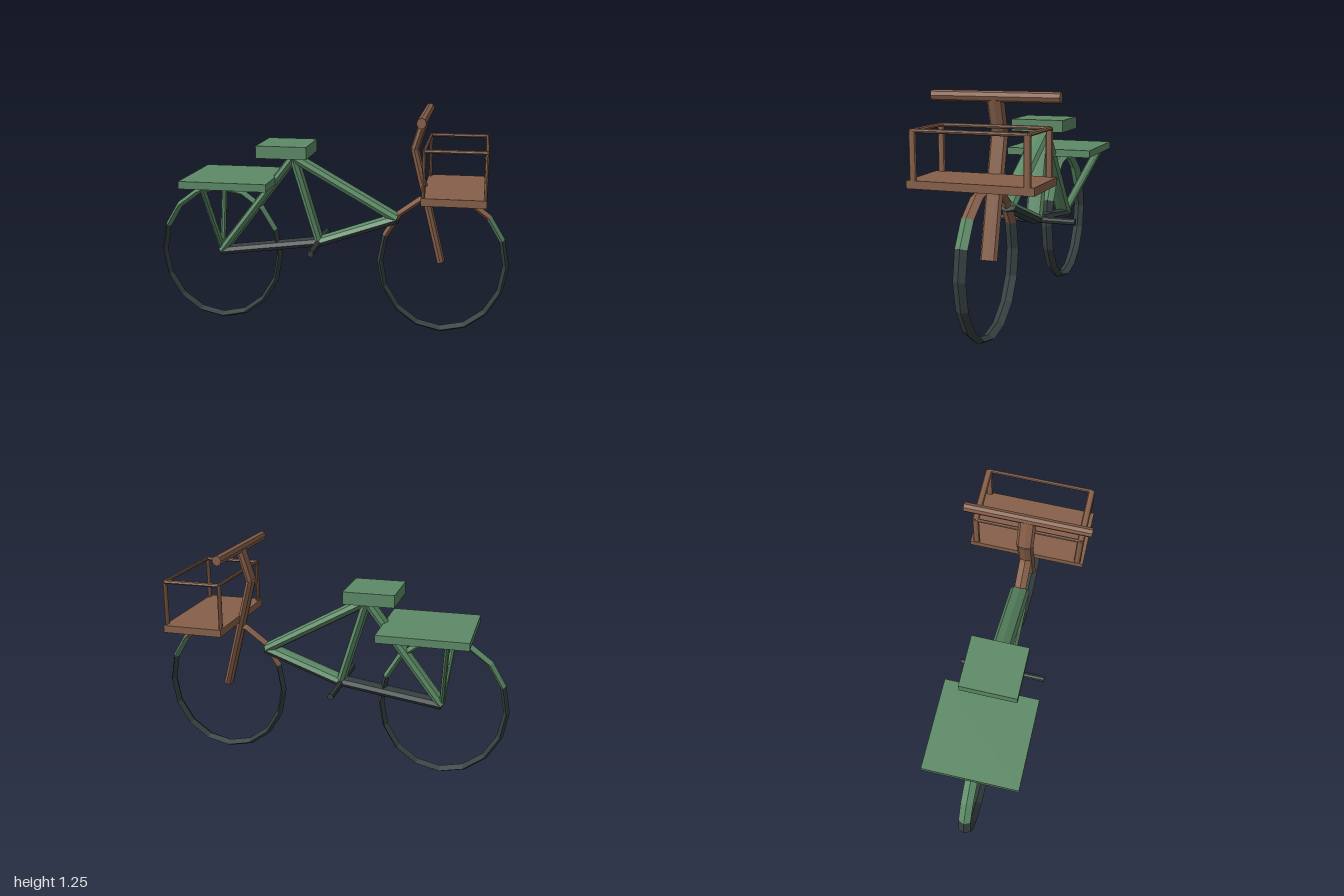
import * as THREE from 'three';

// Everything is built round, then flattened lengthwise and widened across
const S = new THREE.Vector3(0.9, 1, 1.8);
const WHEEL_X = 0.636, WHEEL_Y = 0.403, BAND = 0.57;

export function createModel() {
  const model = new THREE.Group();
  model.name = 'bicycle';
  const mat = (color) => new THREE.MeshStandardMaterial({ color, flatShading: true });
  const green = mat(0x5c8a66), brown = mat(0x87604a), dark = mat(0x363f40);

  const add = (name, geo, material) => {
    const mesh = new THREE.Mesh(geo, material);
    mesh.name = name;
    model.add(mesh);
    return mesh;
  };

  // Octagonal bar between two points
  const barGeo = (a, b, r) => {
    const p = new THREE.Vector3(...a).divide(S), q = new THREE.Vector3(...b).divide(S);
    const d = q.clone().sub(p);
    const geo = new THREE.CylinderGeometry(r, r, d.length(), 8);
    geo.applyQuaternion(new THREE.Quaternion().setFromUnitVectors(new THREE.Vector3(0, 1, 0), d.normalize()));
    const m = p.add(q).multiplyScalar(0.5);
    return geo.translate(m.x, m.y, m.z).scale(S.x, S.y, S.z);
  };
  const bar = (name, a, b, r, material) => add(name, barGeo(a, b, r), material);

  const box = (name, [x0, x1], [y0, y1], halfZ, material) =>
    add(name, new THREE.BoxGeometry(x1 - x0, y1 - y0, halfZ * 2)
      .translate((x0 + x1) / 2, (y0 + y1) / 2, 0), material);

  // Colours each pair of triangles by the position of its middle
  const banded = (name, geometry, pick) => {
    const geo = geometry.toNonIndexed();
    const pos = geo.attributes.position, mats = [dark, green, brown];
    geo.clearGroups();
    for (let i = 0; i < pos.count; i += 6) {
      const n = Math.min(6, pos.count - i);
      let x = 0, y = 0;
      for (let k = i; k < i + n; k++) {
        x += pos.getX(k) / n;
        y += pos.getY(k) / n;
      }
      geo.addGroup(i, n, mats.indexOf(pick(x, y)));
    }
    add(name, geo, mats);
  };

  // Wheels: sixteen-sided hoops with a diamond section
  for (const [name, side] of [['rearWheel', -1], ['frontWheel', 1]]) {
    const hoop = new THREE.TorusGeometry(0.385, 0.0185, 4, 16)
      .scale(S.x, S.y, S.z).translate(side * WHEEL_X, WHEEL_Y, 0);
    banded(name, hoop, (x, y) => {
      if (y < BAND) return dark;
      return side > 0 && x < 0.88 ? brown : green;
    });
  }

  // Frame
  const axle = [-0.63, 0.415, 0], seatTop = [-0.2, 0.975, 0];
  const bracket = [-0.055, 0.495, 0], head = [0.38, 0.65, 0];
  bar('seatStay', axle, seatTop, 0.029, green);
  bar('seatTube', bracket, seatTop, 0.029, green);
  bar('topTube', seatTop, head, 0.031, green);
  bar('chainStay', axle, bracket, 0.029, dark);
  banded('downTube', barGeo(bracket, head, 0.031), (x, y) => (y < BAND + (x - 0.1625) * 0.36 + 0.008 ? dark : green));
  bar('pedalAxle', [-0.06, 0.49, -0.245], [-0.06, 0.49, 0.245], 0.019, dark);

  // Saddle, carrier and carrier struts
  box('saddle', [-0.38, -0.1], [0.987, 1.055], 0.153, green);
  box('carrier', [-0.79, -0.3], [0.823, 0.865], 0.255, green);
  for (const s of [-1, 1]) bar('carrierStrut', axle, [-0.672, 0.835, s * 0.215], 0.016, green);

  // Fork, stem and handlebar
  bar('fork', [0.628, 0.415, 0], [0.468, 1.045, 0], 0.026, brown);
  bar('stem', [0.47, 1.04, 0], [0.525, 1.22, 0], 0.026, brown);
  bar('handlebar', [0.525, 1.223, -0.34], [0.525, 1.223, 0.34], 0.028, brown);

  // Basket: floor, corner posts and top rails
  box('basketFloor', [0.53, 0.862], [0.8, 0.84], 0.322, brown);
  const X = [0.541, 0.855], Z = 0.287, TOP = 1.077, R = 0.0105;
  for (const x of X) {
    for (const z of [-Z, Z]) bar('basketPost', [x, 0.83, z], [x, TOP, z], R, brown);
    bar('basketCrossRail', [x, TOP, -Z], [x, TOP, Z], R, brown);
  }
  for (const z of [-Z, Z]) bar('basketSideRail', [X[0], TOP, z], [X[1], TOP, z], R, brown);

  return model;
}
